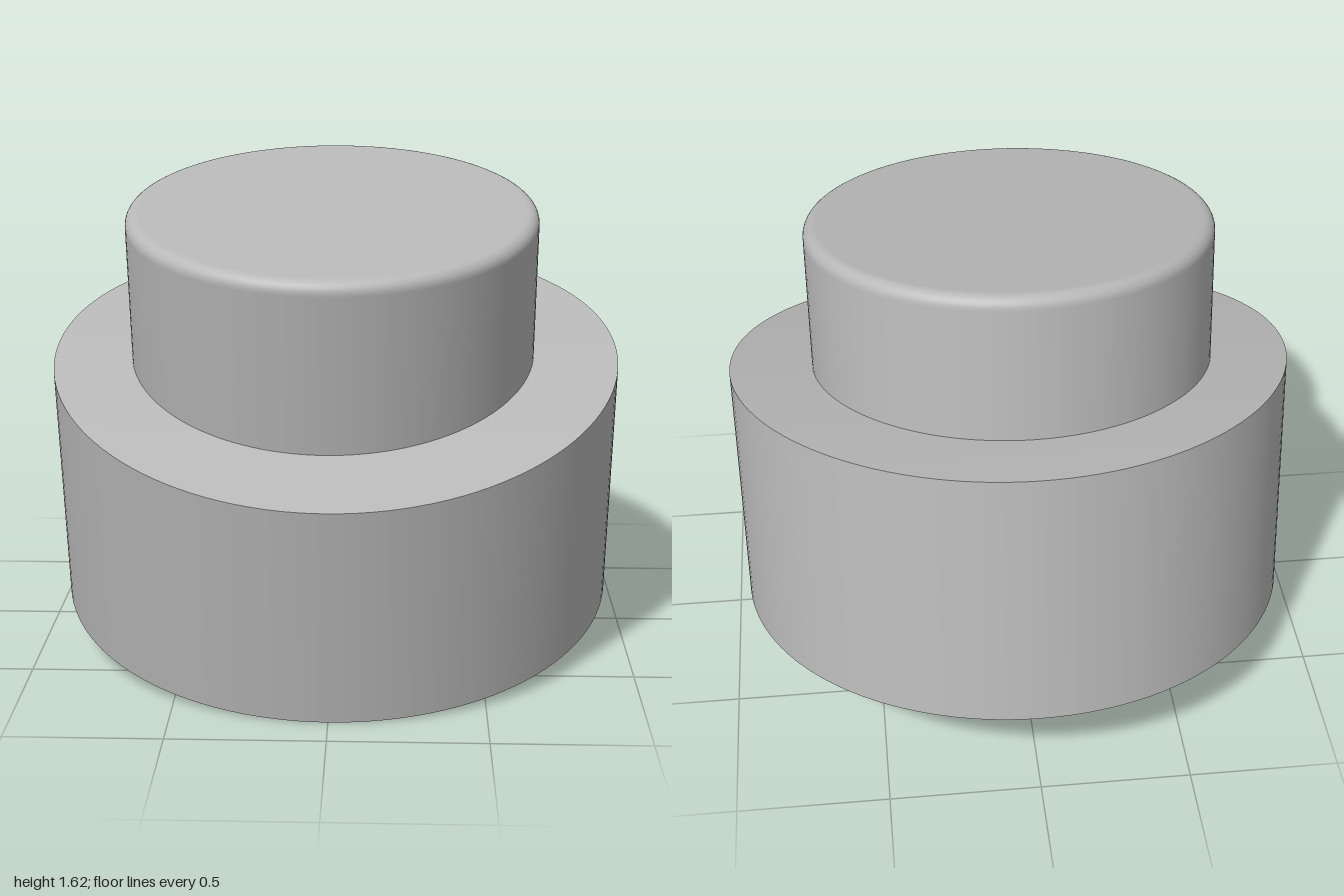
import * as THREE from 'three';

const SEG = 128;
const R = 0.95;

// Height of the gently crowned shoulder along the tilted depth axis
const shoulderHeight = (z) => 0.856 - 0.067 * z - 0.05 * z * z;

// Points of a quarter-round corner
function fillet(cx, cy, r, from, to) {
  const pts = [];
  for (let i = 0; i <= 8; i++) {
    const a = from + (to - from) * i / 8;
    pts.push(new THREE.Vector2(cx + r * Math.cos(a), cy + r * Math.sin(a)));
  }
  return pts;
}

export function createModel() {
  const group = new THREE.Group();
  const grey = new THREE.MeshStandardMaterial({ color: 0xb8b8b8 });
  grey.name = 'grey';
  const add = (name, geometry, x = 0, z = 0) => {
    const mesh = new THREE.Mesh(geometry, grey);
    mesh.name = name;
    mesh.position.set(x, 0, z);
    group.add(mesh);
  };
  const v = (x, y) => new THREE.Vector2(x, y);

  // Outer wall, its upper edge following the crowned shoulder
  const wall = new THREE.CylinderGeometry(R, R, 1, SEG, 1, true);
  const wp = wall.attributes.position;
  for (let i = 0; i < wp.count; i++) {
    wp.setY(i, wp.getY(i) > 0 ? shoulderHeight(wp.getZ(i)) : 0);
  }
  add('baseWall', wall);

  // Crowned shoulder around the plug
  const shoulder = new THREE.RingGeometry(0.62, R, SEG, 8);
  shoulder.rotateX(-Math.PI / 2);
  const sp = shoulder.attributes.position;
  for (let i = 0; i < sp.count; i++) sp.setY(i, shoulderHeight(sp.getZ(i)));
  shoulder.computeVertexNormals();
  add('shoulder', shoulder);

  // Upper plug with a rounded top edge
  const r = 0.68, top = 1.36, f = 0.04;
  add('plug', new THREE.LatheGeometry([
    v(r, 0.7), v(r, top - f - 0.005),
    ...fillet(r - f, top - f, f, 0, Math.PI / 2),
    v(r - f - 0.005, top), v(0, top),
  ], SEG), -0.01, -0.02);

  // Flat bottom rim with the recess opening
  const ox = -0.015, hole = 0.8;
  const rimShape = new THREE.Shape().absarc(0, 0, R, 0, Math.PI * 2);
  rimShape.holes.push(new THREE.Path().absarc(ox, 0, hole, 0, Math.PI * 2, true));
  const rim = new THREE.ShapeGeometry(rimShape, SEG);
  rim.rotateX(Math.PI / 2);
  add('bottomRim', rim);

  // Recess underneath, rounded where floor meets wall
  const depth = 0.22, rf = 0.06;
  add('recess', new THREE.LatheGeometry([
    v(0, depth), v(hole - rf - 0.005, depth),
    ...fillet(hole - rf, depth - rf, rf, Math.PI / 2, 0),
    v(hole, depth - rf - 0.005), v(hole, 0),
  ], SEG), ox, 0);

  // The whole body leans forward
  group.rotation.x = THREE.MathUtils.degToRad(10);
  group.position.set(0, 0.165, -0.065);
  const model = new THREE.Group();
  group.name = 'tiltedBody';
  model.add(group);
  return model;
}
